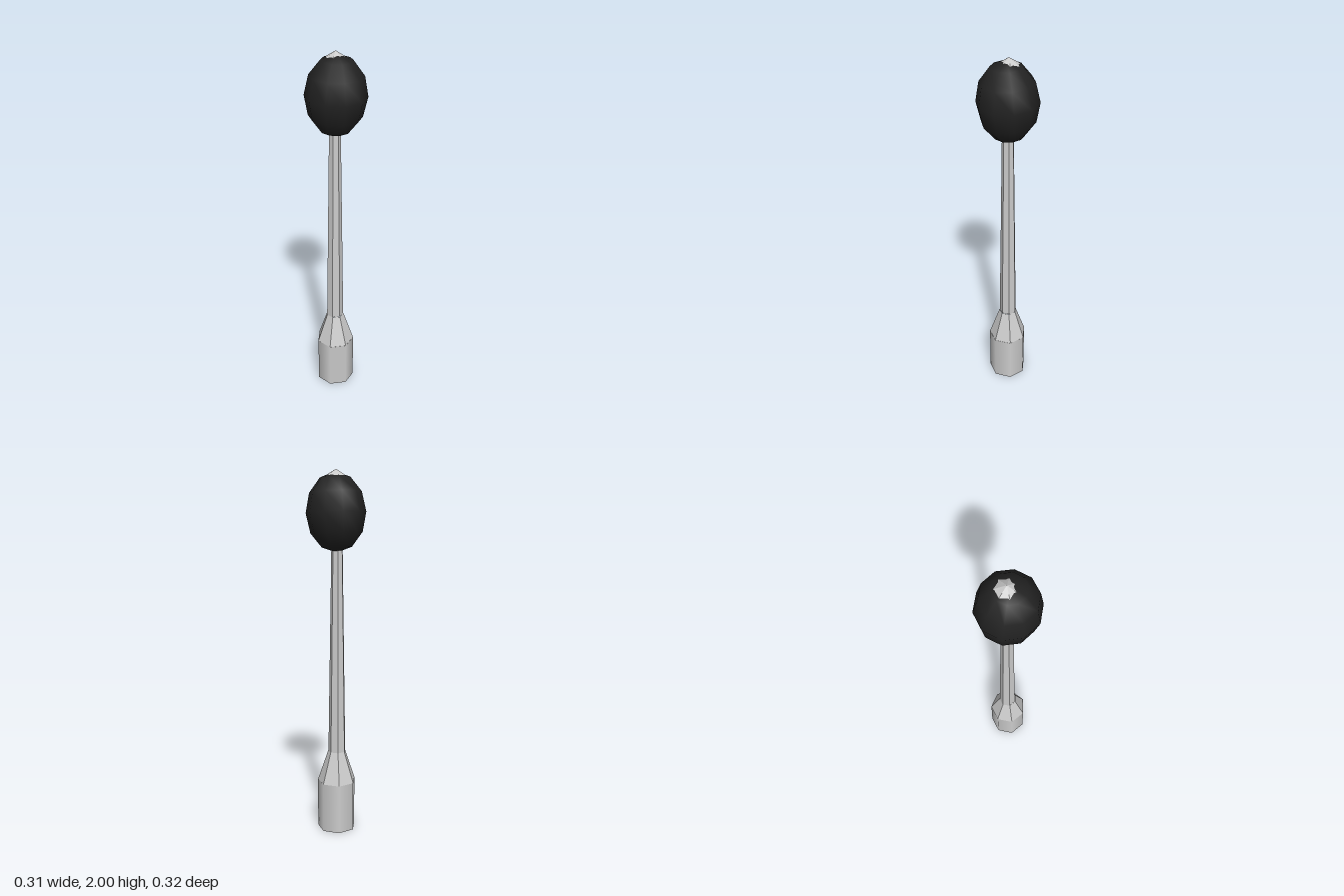
import * as THREE from 'three';

const SIDES = 7;

export function createModel() {
  const group = new THREE.Group();
  const smoothGrey = new THREE.MeshStandardMaterial({ color: 0xcccccc });
  const flatGrey = new THREE.MeshStandardMaterial({ color: 0xcccccc, flatShading: true });
  const black = new THREE.MeshStandardMaterial({ color: 0x222222 });

  const add = (name, geometry, material, x, y, z) => {
    const mesh = new THREE.Mesh(geometry, material);
    mesh.name = name;
    mesh.position.set(x, y, z);
    group.add(mesh);
    return mesh;
  };

  // Seven-sided section between two heights, with one corner towards +x
  const section = (name, rTop, rBottom, y0, y1, material, x, z, open = true) => {
    const g = new THREE.CylinderGeometry(rTop, rBottom, y1 - y0, SIDES, 1, open);
    g.rotateY(Math.PI / 2);
    return add(name, g, material, x, (y0 + y1) / 2, z);
  };

  // Grip, tapering collar and slender shaft
  section('grip', 0.108, 0.108, 0, 0.28, smoothGrey, -0.003, 0.004, false);
  section('collar', 0.049, 0.108, 0.28, 0.455, flatGrey, -0.004, 0.004);
  section('shaft', 0.031, 0.049, 0.455, 1.62, flatGrey, -0.006, 0.004);

  // Faceted egg-shaped head, leaning slightly
  const headShape = new THREE.SphereGeometry(0.161, 10, 6);
  headShape.rotateY(Math.PI / 2);
  headShape.scale(1, 0.21 / 0.161, 1);
  const head = add('head', headShape, black, 0, 1.777, 0);
  head.rotation.z = -0.05;

  // Small pointed cap poking out of the head
  section('capRim', 0.034, 0.062, 1.962, 1.98, flatGrey, -0.005, -0.002);
  section('capPoint', 0, 0.034, 1.98, 2, flatGrey, -0.005, -0.002);

  return group;
}
